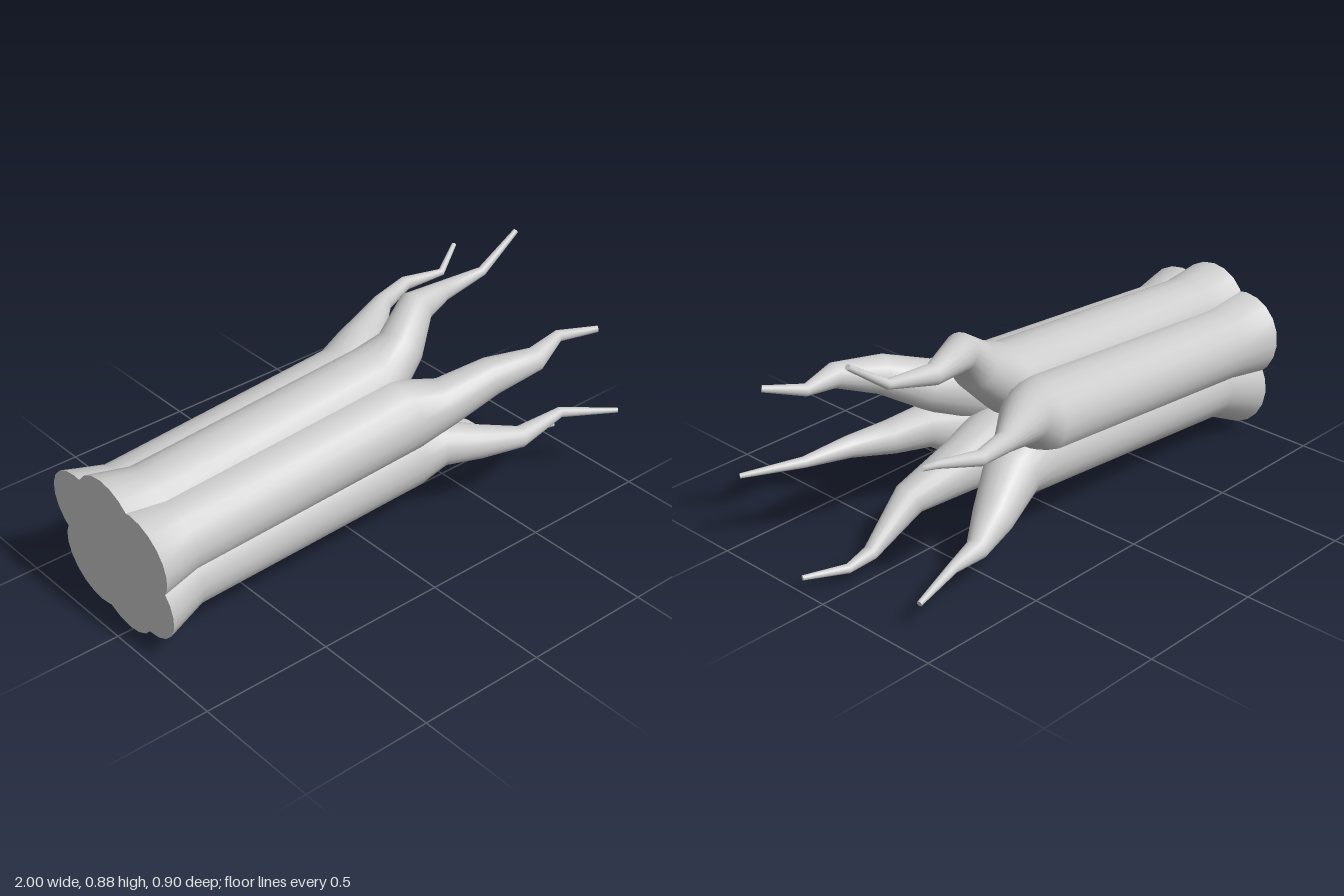
import * as THREE from 'three';

const SIDES = 20;
const TRUNK_DIR = new THREE.Vector3(1, 0.1, 0).normalize();
const X_AXIS = new THREE.Vector3(1, 0, 0);

// Branch rings of each strand [x, y, z, radius], in order around the trunk
const branches = {
  topStrand: [[0.29, 0.64, -0.018, 0.088], [0.4, 0.74, -0.062, 0.066], [0.565, 0.728, -0.1, 0.038], [0.75, 0.753, -0.083, 0.018], [0.912, 0.868, -0.077, 0.01]],
  upperLeftStrand: [[0.31, 0.5, 0.2, 0.09], [0.47, 0.575, 0.265, 0.07], [0.63, 0.607, 0.322, 0.045], [0.79, 0.623, 0.28, 0.022], [0.91, 0.643, 0.362, 0.012]],
  lowerLeftStrand: [[0.3, 0.335, 0.21, 0.082], [0.43, 0.313, 0.268, 0.062], [0.57, 0.305, 0.33, 0.04], [0.775, 0.325, 0.33, 0.02], [0.967, 0.307, 0.44, 0.009]],
  bottomStrand: [[0.33, 0.255, 0.015, 0.098], [0.54, 0.19, 0.06, 0.062], [0.735, 0.062, 0.052, 0.028], [0.85, 0.057, 0.037, 0.017], [1, 0.062, 0.098, 0.009]],
  lowerRightStrand: [[0.29, 0.285, -0.19, 0.105], [0.44, 0.19, -0.243, 0.074], [0.57, 0.147, -0.295, 0.04], [0.71, 0.147, -0.322, 0.02], [0.89, 0.105, -0.35, 0.01]],
  upperRightStrand: [[0.3, 0.525, -0.26, 0.09], [0.53, 0.568, -0.387, 0.037], [0.68, 0.583, -0.425, 0.027], [0.825, 0.6, -0.378, 0.014], [0.945, 0.655, -0.437, 0.009]],
};

// Trunk stations: axis point, strand radius and strand centres [y, z] in the same order
const stations = [
  { x: -0.968, y: 0.31, r: 0.165, centres: [[0.46, -0.035], [0.4, 0.115], [0.225, 0.115], [0.165, -0.015], [0.19, -0.175], [0.39, -0.2]] },
  { x: -0.815, y: 0.345, r: 0.14, centres: [[0.46, -0.02], [0.4, 0.105], [0.255, 0.105], [0.225, -0.015], [0.235, -0.16], [0.38, -0.185]] },
  { x: 0.16, y: 0.42, r: 0.14, centres: [[0.53, -0.02], [0.465, 0.12], [0.305, 0.12], [0.31, -0.015], [0.315, -0.165], [0.455, -0.185]] },
];

// Trunk ring of one strand; sections lean with the trunk axis
function trunkRing({ x, y, r, centres }, strand) {
  const [cy, cz] = centres[strand];
  return { centre: new THREE.Vector3(x - 0.1 * (cy - y), cy, cz), r, dir: TRUNK_DIR };
}

// Branch rings face the average direction of their neighbouring segments
function branchRings(path, start) {
  const centres = [start, ...path.map(([x, y, z]) => new THREE.Vector3(x, y, z))];
  return path.map(([, , , r], i) => {
    const centre = centres[i + 1], next = centres[i + 2];
    const before = centre.clone().sub(centres[i]).normalize();
    const dir = next ? next.clone().sub(centre).normalize().add(before).normalize() : before;
    return { centre, r, dir };
  });
}

// Sweep round rings along the strand and close both ends
function strandGeometry(rings) {
  const pos = [], index = [];
  const ringPoints = rings.map(({ centre, r, dir }) => {
    const turn = new THREE.Quaternion().setFromUnitVectors(X_AXIS, dir);
    return Array.from({ length: SIDES }, (_, i) => {
      const a = (i / SIDES) * Math.PI * 2;
      return new THREE.Vector3(0, r * Math.cos(a), r * Math.sin(a)).applyQuaternion(turn).add(centre);
    });
  });
  ringPoints.flat().forEach(p => pos.push(p.x, p.y, p.z));
  for (let k = 0; k < rings.length - 1; k++) {
    for (let i = 0; i < SIDES; i++) {
      const a = k * SIDES + i, b = k * SIDES + (i + 1) % SIDES;
      index.push(a, b, a + SIDES, b, b + SIDES, a + SIDES);
    }
  }
  // Flat end caps with their own vertices
  for (const k of [0, rings.length - 1]) {
    const c = pos.length / 3;
    [rings[k].centre, ...ringPoints[k]].forEach(p => pos.push(p.x, p.y, p.z));
    for (let i = 0; i < SIDES; i++) {
      const a = c + 1 + i, b = c + 1 + (i + 1) % SIDES;
      if (k === 0) index.push(c, b, a);
      else index.push(c, a, b);
    }
  }
  const geo = new THREE.BufferGeometry();
  geo.setAttribute('position', new THREE.Float32BufferAttribute(pos, 3));
  geo.setIndex(index);
  geo.computeVertexNormals();
  return geo;
}

export function createModel() {
  const model = new THREE.Group();
  model.name = 'fallenTree';
  const bark = new THREE.MeshStandardMaterial({ color: 0xcccccc });
  Object.entries(branches).forEach(([name, path], i) => {
    const trunk = stations.map(station => trunkRing(station, i));
    const rings = [...trunk, ...branchRings(path, trunk[2].centre)];
    const mesh = new THREE.Mesh(strandGeometry(rings), bark);
    mesh.name = name;
    model.add(mesh);
  });
  return model;
}
